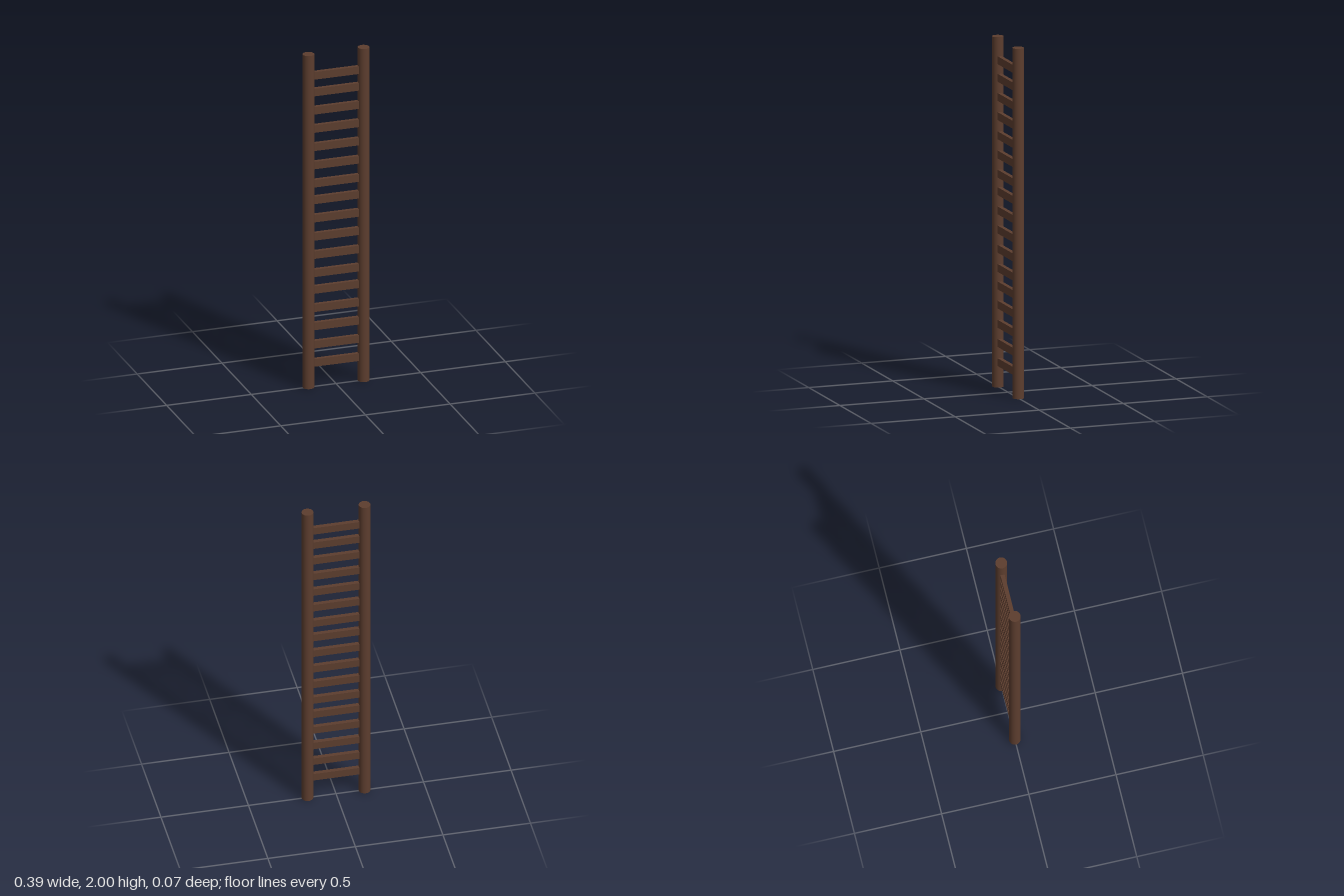
import * as THREE from 'three';

export function createModel() {
  const model = new THREE.Group();
  model.name = 'ladder';

  const wood = new THREE.MeshStandardMaterial({ color: 0x5c3d2e });
  wood.name = 'dark brown wood';

  // Two round upright rails
  const railX = 0.163;
  const railGeometry = new THREE.CylinderGeometry(0.033, 0.033, 2, 32);
  for (const side of [-1, 1]) {
    const rail = new THREE.Mesh(railGeometry, wood);
    rail.name = side > 0 ? 'leftRail' : 'rightRail';
    rail.position.set(side * railX, 1, 0);
    model.add(rail);
  }

  // Flat rungs, evenly spaced apart from three slightly narrower gaps
  const rungGeometry = new THREE.BoxGeometry(railX * 2, 0.045, 0.024);
  const narrowGaps = [5, 10, 16];
  let y = 0.145;
  for (let i = 1; i <= 17; i++) {
    const rung = new THREE.Mesh(rungGeometry, wood);
    rung.name = `rung${i}`;
    rung.position.y = y;
    model.add(rung);
    y += narrowGaps.includes(i) ? 0.1 : 0.1095;
  }

  return model;
}
